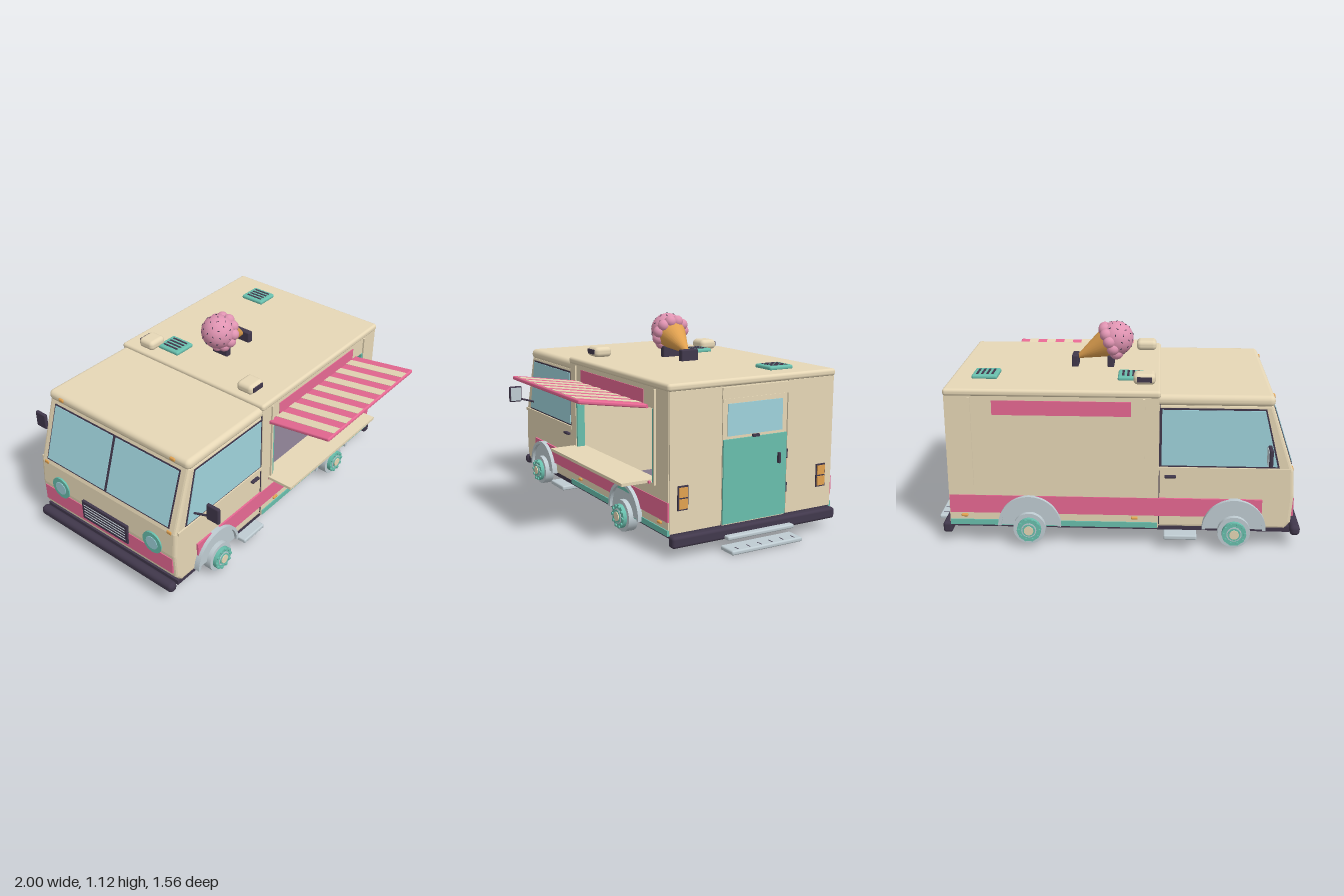
import * as THREE from 'three';
import { RoundedBoxGeometry } from 'three/addons/geometries/RoundedBoxGeometry.js';

const mat = (name, color) => Object.assign(new THREE.MeshStandardMaterial({ color }), { name });
const M = {
  cream: mat('cream', 0xe6d7b6), pink: mat('pink', 0xea6a95), teal: mat('teal', 0x69bfad),
  dark: mat('dark', 0x41384c), glass: mat('glass', 0x9fd3dc), grey: mat('grey', 0xbfccd2),
  amber: mat('amber', 0xe2a250), scoop: mat('scoop', 0xe094b2), mauve: mat('mauve', 0x857a8c),
};

export function createModel() {
  const root = new THREE.Group();
  root.name = 'iceCreamTruck';
  const truck = new THREE.Group(); // local frame centred on the body's width
  truck.name = 'truck';
  truck.position.z = -0.11;
  root.add(truck);

  const add = (name, geo, m, x = 0, y = 0, z = 0, parent = truck) => {
    const mesh = new THREE.Mesh(geo, m);
    mesh.name = name;
    mesh.position.set(x, y, z);
    parent.add(mesh);
    return mesh;
  };
  // boxes are given by their limits
  const box = (name, m, x0, x1, y0, y1, z0, z1, parent = truck, r = 0) => add(name,
    r ? new RoundedBoxGeometry(x1 - x0, y1 - y0, z1 - z0, 3, r) : new THREE.BoxGeometry(x1 - x0, y1 - y0, z1 - z0),
    m, (x0 + x1) / 2, (y0 + y1) / 2, (z0 + z1) / 2, parent);
  // a box on side s of the truck, z measured outwards
  const sideBox = (name, m, s, x0, x1, y0, y1, z0, z1, r = 0) =>
    box(name, m, x0, x1, y0, y1, Math.min(s * z0, s * z1), Math.max(s * z0, s * z1), truck, r);
  const poly = (pts) => new THREE.Shape(pts.map((p) => new THREE.Vector2(...p)));
  const plate = (name, m, shape, s, z0, z1) => add(name,
    new THREE.ExtrudeGeometry(shape, { depth: z1 - z0, bevelEnabled: false, curveSegments: 24 }),
    m, 0, 0, s > 0 ? z0 : -z1);
  const rod = (name, m, a, b, r) => {
    const A = new THREE.Vector3(...a), B = new THREE.Vector3(...b), d = B.clone().sub(A);
    const mesh = add(name, new THREE.CylinderGeometry(r, r, d.length(), 20), m);
    mesh.position.copy(A).add(B).multiplyScalar(0.5);
    mesh.quaternion.setFromUnitVectors(new THREE.Vector3(0, 1, 0), d.normalize());
  };

  // chassis
  box('underside', M.dark, -0.94, 0.865, 0.095, 0.125, -0.5, 0.5);
  box('kitchenFloor', M.mauve, -0.23, 0.85, 0.122, 0.132, -0.49, 0.49);
  for (const s of [1, -1]) sideBox('chassisRail', M.dark, s, -0.877, 0.786, 0.03, 0.082, 0.265, 0.315);
  for (const x of [-0.6, -0.1, 0.45]) box('crossMember', M.dark, x - 0.015, x + 0.015, 0.07, 0.097, -0.29, 0.29);
  box('frontBumper', M.dark, -1, -0.945, 0.07, 0.128, -0.505, 0.505, truck, 0.024);
  box('rearBumper', M.dark, 0.86, 0.91, 0.055, 0.115, -0.51, 0.51, truck, 0.015);

  // cab
  const cab = poly([[-0.235, 0.11], [-0.915, 0.11], [-0.945, 0.15], [-0.955, 0.3], [-0.945, 0.44],
    [-0.825, 0.8], [-0.235, 0.8]]);
  add('cab', new THREE.ExtrudeGeometry(cab, { depth: 0.97, bevelThickness: 0.018, bevelSize: 0.018,
    bevelOffset: -0.018, bevelSegments: 3 }), M.cream, 0, 0, -0.485);
  box('cabRoof', M.cream, -0.835, -0.22, 0.785, 0.846, -0.508, 0.508, truck, 0.028);

  // windscreen, leaning back
  const screen = new THREE.Group();
  screen.name = 'windscreen';
  screen.position.set(-0.885, 0.62, 0);
  screen.rotation.z = -Math.atan2(0.12, 0.36);
  truck.add(screen);
  box('windscreenFrame', M.dark, -0.004, 0.003, -0.165, 0.165, -0.455, 0.455, screen);
  for (const s of [1, -1]) {
    const a = s * 0.01, b = s * 0.447;
    box('windscreenPane', M.glass, -0.008, 0.002, -0.157, 0.157, Math.min(a, b), Math.max(a, b), screen);
  }

  // nose
  box('noseStripe', M.pink, -0.958, -0.944, 0.18, 0.28, -0.482, 0.482);
  box('grille', M.dark, -0.968, -0.94, 0.21, 0.33, -0.17, 0.17);
  for (let i = 0; i < 5; i++) box('grilleSlat', M.grey, -0.971, -0.966, 0.23 + i * 0.019, 0.234 + i * 0.019, -0.155, 0.155);
  for (const s of [1, -1]) {
    rod('headlightRim', M.teal, [-0.94, 0.32, s * 0.345], [-0.96, 0.32, s * 0.345], 0.066);
    rod('headlightLens', M.glass, [-0.94, 0.32, s * 0.345], [-0.963, 0.32, s * 0.345], 0.04);
    sideBox('indicator', M.amber, s, -0.948, -0.922, 0.43, 0.452, 0.44, 0.475, 0.007);
    sideBox('clearanceLight', M.amber, s, -0.842, -0.82, 0.81, 0.83, 0.385, 0.42, 0.007);
  }

  // kitchen box: walls, one with the serving hatch
  const wall = poly([[-0.245, 0.11], [0.862, 0.11], [0.862, 0.84], [-0.245, 0.84]]);
  wall.holes.push(poly([[-0.16, 0.345], [-0.16, 0.725], [0.73, 0.725], [0.73, 0.345]]));
  plate('hatchWall', M.cream, wall, 1, 0.485, 0.51);
  box('blindWall', M.cream, -0.245, 0.862, 0.11, 0.84, -0.51, -0.485);
  box('rearWall', M.cream, 0.84, 0.86, 0.11, 0.84, -0.508, 0.508);
  box('partition', M.cream, -0.245, -0.22, 0.11, 0.84, -0.5, 0.5);
  box('roof', M.cream, -0.252, 0.872, 0.828, 0.867, -0.517, 0.517, truck, 0.016);

  for (const s of [1, -1]) {
    // paint and trim
    sideBox('sideStripe', M.pink, s, -0.79, 0.864, 0.18, 0.28, 0.495, 0.514);
    sideBox('sill', M.teal, s, -0.24, 0.864, 0.11, 0.14, 0.5, 0.516);
    sideBox('signPanel', M.pink, s, -0.1, 0.62, 0.73, 0.808, 0.505, 0.514);
    for (const x of [-0.172, 0.73]) sideBox('hatchPost', M.cream, s, x, x + 0.012, 0.34, 0.825, 0.5, 0.52);
    for (const x of [-0.12, 0.786]) sideBox('sideMarker', M.amber, s, x - 0.018, x + 0.018, 0.157, 0.172, 0.5, 0.522, 0.006);
    // cab door
    plate('doorWindowFrame', M.dark, poly([[-0.872, 0.457], [-0.25, 0.457], [-0.25, 0.778], [-0.791, 0.778]]), s, 0.495, 0.506);
    plate('doorWindow', M.glass, poly([[-0.86, 0.466], [-0.259, 0.466], [-0.259, 0.769], [-0.785, 0.769]]), s, 0.495, 0.51);
    sideBox('doorTrim', M.cream, s, -0.93, -0.245, 0.437, 0.455, 0.495, 0.512);
    sideBox('doorHandle', M.dark, s, -0.335, -0.275, 0.397, 0.411, 0.5, 0.522, 0.005);
    sideBox('doorSeam', M.dark, s, -0.25, -0.246, 0.13, 0.8, 0.495, 0.506);
    sideBox('cabStep', M.grey, s, -0.45, -0.275, 0.062, 0.088, 0.45, 0.558, 0.008);
    // mirror
    rod('mirrorArm', M.dark, [-0.81, 0.505, s * 0.49], [-0.8, 0.545, s * 0.625], 0.006);
    sideBox('mirrorCase', M.dark, s, -0.815, -0.794, 0.522, 0.62, 0.595, 0.675, 0.008);
    sideBox('mirrorGlass', M.grey, s, -0.8, -0.791, 0.53, 0.612, 0.602, 0.668);
    // roof speaker
    sideBox('speaker', M.cream, s, -0.224, -0.107, 0.868, 0.926, 0.306, 0.412, 0.024);
    sideBox('speakerMouth', M.dark, s, -0.205, -0.126, 0.885, 0.912, 0.4, 0.416);
    // rear corner panels and tail lamps
    sideBox('cornerPanel', M.cream, s, 0.85, 0.868, 0.12, 0.83, 0.205, 0.505);
    sideBox('tailLampFrame', M.dark, s, 0.86, 0.874, 0.235, 0.36, 0.402, 0.462);
    for (const y of [0.243, 0.302]) sideBox('tailLamp', M.amber, s, 0.87, 0.88, y, y + 0.05, 0.408, 0.456);

    // wheels and arches
    for (const x of [-0.645, 0.438]) {
      const arch = new THREE.Shape();
      arch.absarc(x, 0.115, 0.168, 0, Math.PI, false);
      arch.absarc(x, 0.115, 0.15, Math.PI, 0, true);
      plate('wheelArch', M.grey, arch, s, 0.5, 0.535);
      const well = new THREE.Shape();
      well.absarc(x, 0.115, 0.152, 0, Math.PI, false);
      plate('wheelWell', M.grey, well, s, 0.5, 0.518);
      if (x > 0 && s > 0) {
        const cap = new THREE.Shape();
        cap.absarc(x, 0.115, 0.151, 0.91, Math.PI - 0.91, false);
        plate('wheelWellTop', M.teal, cap, s, 0.51, 0.521);
      }
      const disc = (name, m, r, z0, z1, px = x, py = 0.105) => add(name,
        new THREE.CylinderGeometry(r, r, z1 - z0, 28).rotateX(Math.PI / 2), m, px, py, s * (z0 + z1) / 2);
      disc('tyre', M.grey, 0.086, 0.49, 0.544);
      disc('wheelRim', M.teal, 0.064, 0.54, 0.565);
      disc('wheelDish', M.grey, 0.04, 0.56, 0.568);
      disc('hubRing', M.teal, 0.034, 0.56, 0.571);
      disc('hubCentre', M.cream, 0.025, 0.565, 0.576);
      for (let i = 0; i < 10; i++) {
        const a = (i / 10) * Math.PI * 2;
        disc('wheelStud', M.teal, 0.008, 0.54, 0.572, x + 0.056 * Math.cos(a), 0.105 + 0.056 * Math.sin(a));
      }
    }
  }

  // serving hatch
  box('counterShelf', M.cream, -0.187, 0.675, 0.338, 0.354, 0.46, 0.667);
  box('counterEdge', M.pink, -0.187, 0.69, 0.337, 0.349, 0.508, 0.518);
  for (const x of [-0.16, 0.717]) box('hatchTrim', M.teal, x, x + 0.014, 0.35, 0.725, 0.47, 0.516);
  // work top along the far wall, with treats on display
  box('innerCounter', M.teal, -0.03, 0.63, 0.13, 0.385, -0.485, -0.36);
  box('machine', M.dark, -0.148, -0.095, 0.13, 0.5, -0.48, -0.38, truck, 0.015);
  for (const y of [0.4, 0.43, 0.46, 0.49]) add('machineKnob', new THREE.SphereGeometry(0.02, 12, 8), M.dark, -0.1, y, -0.38);
  [0.035, 0.14, 0.25, 0.353, 0.46, 0.55, 0.61].forEach((x, i) => {
    const scoops = [0, 0, 1, 2, 3, 0, 0][i], served = i > 0 && i < 5;
    const cone = add('sampleCone', new THREE.ConeGeometry(0.018, 0.05, 12), served ? M.amber : M.grey, x, 0.405, -0.42);
    cone.rotation.z = Math.PI;
    for (let k = 0; k < scoops; k++) {
      add('sampleScoop', new THREE.SphereGeometry(0.022, 14, 10), [M.scoop, M.cream, M.dark][k], x, 0.437 + k * 0.03, -0.42);
    }
  });

  // striped awning
  const awning = new THREE.Group();
  awning.name = 'awning';
  awning.position.set(-0.187, 0.727, 0.51);
  awning.rotation.x = -0.15;
  truck.add(awning);
  const stripe = 0.85 / 15;
  box('awningPanel', M.pink, 0, 0.85, -0.011, 0.01, 0, 0.383, awning, 0.008);
  box('awningLining', M.cream, 0.012, 0.838, -0.014, -0.008, 0.01, 0.366, awning);
  for (let i = 1; i < 15; i += 2) box('awningStripe', M.cream, i * stripe, (i + 1) * stripe, 0.005, 0.012, 0.004, 0.376, awning);
  box('awningHinge', M.pink, -0.187, 0.663, 0.718, 0.736, 0.505, 0.52);

  // back door and steps
  box('doorSurround', M.cream, 0.85, 0.866, 0.115, 0.765, -0.198, 0.198);
  box('doorHeader', M.cream, 0.85, 0.876, 0.768, 0.825, -0.206, 0.206);
  box('backDoor', M.teal, 0.86, 0.875, 0.122, 0.56, -0.197, 0.197);
  box('backDoorGlass', M.glass, 0.86, 0.87, 0.575, 0.74, -0.17, 0.17);
  box('backDoorHandle', M.dark, 0.87, 0.892, 0.402, 0.46, -0.152, -0.138, truck, 0.005);
  box('windowLatch', M.dark, 0.86, 0.88, 0.558, 0.572, -0.02, 0.02);
  for (const y of [0.24, 0.42]) box('doorHinge', M.dark, 0.86, 0.876, y, y + 0.05, -0.205, -0.197);
  box('upperStep', M.grey, 0.865, 0.945, 0.058, 0.08, -0.208, 0.208, truck, 0.008);
  box('lowerStep', M.grey, 0.89, 1.0, 0, 0.024, -0.22, 0.22, truck, 0.009);
  for (let i = 0; i < 6; i++) box('stepGrip', M.dark, 0.95, 0.985, 0.022, 0.025, -0.18 + i * 0.07, -0.175 + i * 0.07);

  // roof vents
  for (const x of [-0.16, 0.618]) {
    box('roofVent', M.teal, x, x + 0.138, 0.862, 0.887, -0.322, -0.17, truck, 0.011);
    for (let i = 0; i < 4; i++) box('ventSlot', M.dark, x + 0.023 + i * 0.027, x + 0.035 + i * 0.027, 0.884, 0.889, -0.298, -0.194);
  }

  // giant cone lying on the roof
  const ice = new THREE.Group();
  ice.name = 'roofIceCream';
  ice.position.set(0.0, 1.018, 0);
  ice.quaternion.setFromUnitVectors(new THREE.Vector3(0, 1, 0), new THREE.Vector3(0.235, -0.118, 0).normalize());
  truck.add(ice);
  add('waffleCone', new THREE.ConeGeometry(0.09, 0.225, 28), M.amber, 0, 0.152, 0, ice);
  add('bigScoop', new THREE.SphereGeometry(0.096, 32, 20), M.scoop, 0, 0, 0, ice);
  for (let i = 0; i < 11; i++) {
    const a = (i / 11) * Math.PI * 2;
    add('scoopFrill', new THREE.SphereGeometry(0.034, 16, 10), M.scoop, 0.08 * Math.cos(a), 0.034, 0.08 * Math.sin(a), ice);
  }
  for (let i = 0; i < 36; i++) { // sprinkles on a spiral
    const y = -0.98 + i * 0.029, r = Math.sqrt(1 - y * y), a = i * 2.4;
    const n = new THREE.Vector3(r * Math.cos(a), y, r * Math.sin(a));
    const t = new THREE.Vector3(Math.sin(i * 5), Math.cos(i * 3), Math.sin(i * 7 + 1)).cross(n).normalize();
    const p = n.multiplyScalar(0.096);
    add('sprinkle', new THREE.CapsuleGeometry(0.0025, 0.009, 2, 6), M.dark, p.x, p.y, p.z, ice)
      .quaternion.setFromUnitVectors(new THREE.Vector3(0, 1, 0), t);
  }
  box('coneRest', M.dark, 0.208, 0.245, 0.86, 0.93, -0.054, 0.054, truck, 0.008);
  box('scoopRest', M.dark, 0.01, 0.047, 0.86, 0.93, -0.054, 0.054, truck, 0.008);

  return root;
}
